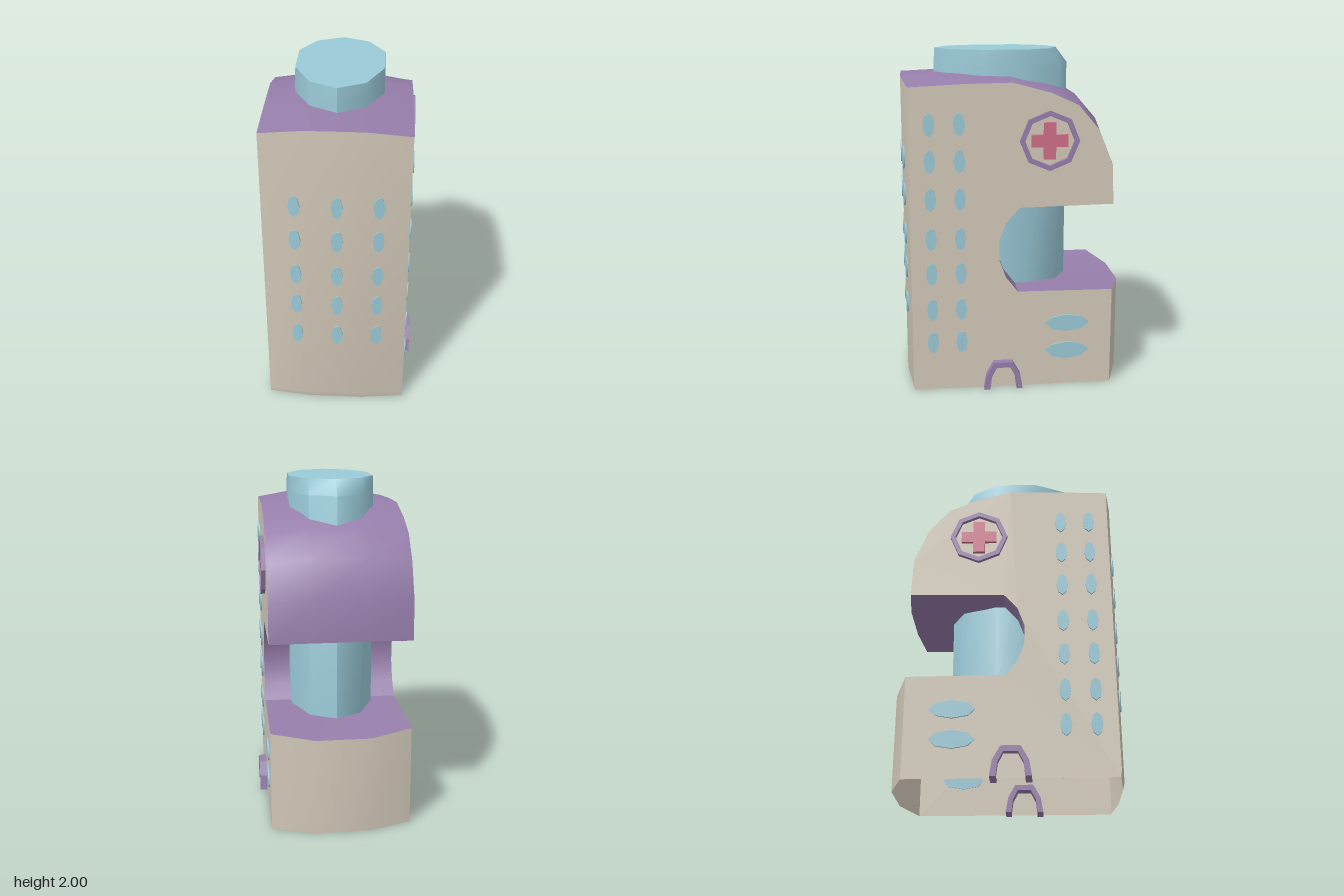
import * as THREE from 'three';
import { toCreasedNormals } from 'three/addons/utils/BufferGeometryUtils.js';

const mat = (name, color, side = THREE.FrontSide) => {
  const m = new THREE.MeshStandardMaterial({ color, side });
  m.name = name;
  return m;
};

export function createModel() {
  const beige = mat('beige wall', 0xd2c9b9, THREE.DoubleSide);
  const purple = mat('purple trim', 0x977fac, THREE.DoubleSide);
  const blue = mat('blue glass', 0x9acad8);
  const red = mat('red cross', 0xcf7088);
  const model = new THREE.Group();
  model.name = 'hospital';

  const add = (name, geometry, material, parent = model) => {
    const mesh = new THREE.Mesh(geometry, material);
    mesh.name = name;
    parent.add(mesh);
    return mesh;
  };

  // Profile rows: z and y at the side walls, then z and y along the bowed middle
  const W = 0.41, M = 0.16;
  const front = [
    [0.61, 0, 0.64, 0], [0.615, 0.04, 0.65, 0.04], [0.61, 1.81, 0.648, 1.85],
  ];
  const cover = [
    [0.61, 1.81, 0.648, 1.85], [0.3, 1.825, 0.33, 1.865], [0.02, 1.83, 0.02, 1.86],
    [-0.2, 1.77, -0.21, 1.80], [-0.355, 1.70, -0.375, 1.735], [-0.475, 1.56, -0.5, 1.59],
    [-0.56, 1.355, -0.585, 1.38], [-0.57, 1.12, -0.6, 1.13],
    // underside, round recess and lower deck
    [-0.02, 1.11, -0.02, 1.11], [0.06, 1.02, 0.06, 1.02], [0.1, 0.91, 0.1, 0.91],
    [0.1, 0.80, 0.1, 0.80], [0.06, 0.69, 0.06, 0.69], [-0.01, 0.6, -0.01, 0.6],
    [-0.575, 0.595, -0.66, 0.575],
  ];
  const back = [[-0.575, 0.595, -0.66, 0.575], [-0.575, 0, -0.66, 0]];

  // Skin a strip of profile rows across the width
  const skin = (rows) => {
    const xs = [-W, -M, M, W], pos = [], index = [];
    for (const [z, y, zm, ym] of rows) {
      xs.forEach((x, j) => (j === 0 || j === 3 ? pos.push(x, y, z) : pos.push(x, ym, zm)));
    }
    for (let i = 0; i < rows.length - 1; i++) {
      for (let j = 0; j < 3; j++) {
        const a = i * 4 + j, d = a + 4;
        index.push(a, a + 1, d + 1, a, d + 1, d);
      }
    }
    const g = new THREE.BufferGeometry();
    g.setAttribute('position', new THREE.Float32BufferAttribute(pos, 3));
    g.setIndex(index);
    return toCreasedNormals(g, 0.6);
  };
  add('frontWall', skin(front), beige);
  add('roofAndRecess', skin(cover), purple);
  add('rearWall', skin(back), beige);

  // Blue oval tower, sloped at the rear of its top
  const tower = new THREE.CylinderGeometry(1, 1, 1, 10, 2);
  const p = tower.attributes.position;
  for (let i = 0; i < p.count; i++) {
    const h = p.getY(i), top = h > 0.4;
    const k = top ? 0.985 : 1;
    let z = p.getZ(i) * 0.4 * k + 0.05;
    if (top && z < -0.2) z *= 0.82;
    p.setXYZ(i, p.getX(i) * 0.262 * k, top ? 2 : h > -0.4 ? 1.91 : 0.55, z);
  }
  add('tower', toCreasedNormals(tower, 0.85), blue);

  // Thin eight-sided oval pane, facing +z
  const pane = (w, h) => {
    const g = new THREE.CylinderGeometry(1, 1, 0.014, 8);
    g.rotateX(Math.PI / 2);
    g.scale(w / 2, h / 2, 1);
    return g;
  };
  const tallPane = pane(0.066, 0.135), widePane = pane(0.255, 0.105);

  // Front windows follow the bow of the wall
  for (const x of [-0.225, 0.01, 0.24]) {
    const out = Math.max(0, Math.abs(x) - M);
    for (const y of [1.39, 1.17, 0.935, 0.725, 0.505]) {
      const w = add('frontWindow', tallPane, blue);
      w.position.set(x, y, 0.651 - out * 0.155);
      w.rotation.y = out ? Math.sign(x) * 0.15 : 0;
    }
  }

  const extrude = (shape, depth) =>
    new THREE.ExtrudeGeometry(shape, { depth, bevelEnabled: false, curveSegments: 4 });
  const octagon = (r) => Array.from({ length: 8 }, (_, i) =>
    new THREE.Vector2(Math.cos(i * Math.PI / 4) * r, Math.sin(i * Math.PI / 4) * r));

  // Badge ring and door arch outlines
  const ring = new THREE.Shape(octagon(0.172));
  ring.holes.push(new THREE.Path(octagon(0.143)));
  const ringGeo = extrude(ring, 0.03);
  const arch = new THREE.Shape([
    [-0.115, 0], [-0.1, 0.09], [-0.055, 0.17], [0.055, 0.17], [0.1, 0.09], [0.115, 0],
    [0.08, 0], [0.07, 0.08], [0.04, 0.138], [-0.04, 0.138], [-0.07, 0.08], [-0.08, 0],
  ].map(([x, y]) => new THREE.Vector2(x, y)));
  const archGeo = extrude(arch, 0.13);

  // Both sides: wall, windows, badge and door
  const outline = [...front, ...cover.slice(1), ...back.slice(1)];
  for (const s of [1, -1]) {
    const side = new THREE.Group();
    side.name = s > 0 ? 'leftSide' : 'rightSide';
    side.rotation.y = s * Math.PI / 2;
    side.position.x = s * W;
    model.add(side);

    const put = (name, geo, material, z, y, out) =>
      add(name, geo, material, side).position.set(-s * z, y, out);

    const wall = new THREE.Shape(outline.map(([z, y]) => new THREE.Vector2(-s * z, y)));
    add('sideWall', new THREE.ShapeGeometry(wall), beige, side);

    for (const y of [1.6, 1.39, 1.17, 0.935, 0.725, 0.505, 0.3]) {
      for (const z of [0.495, 0.325]) put('sideWindow', tallPane, blue, z, y, 0.003);
    }
    for (const y of [0.395, 0.22]) put('lowWindow', widePane, blue, -0.305, y, 0.003);

    const zBadge = s > 0 ? -0.19 : -0.17;
    put('badgeRing', ringGeo, purple, zBadge, 1.5, -0.005);
    put('crossBar', new THREE.BoxGeometry(0.21, 0.07, 0.02), red, zBadge, 1.5, 0.01);
    for (const k of [1, -1]) {
      put('crossArm', new THREE.BoxGeometry(0.07, 0.07, 0.02), red, zBadge, 1.5 + k * 0.07, 0.01);
    }
    put('doorArch', archGeo, purple, s > 0 ? 0.08 : 0.02, 0, -0.085);
  }
  return model;
}
